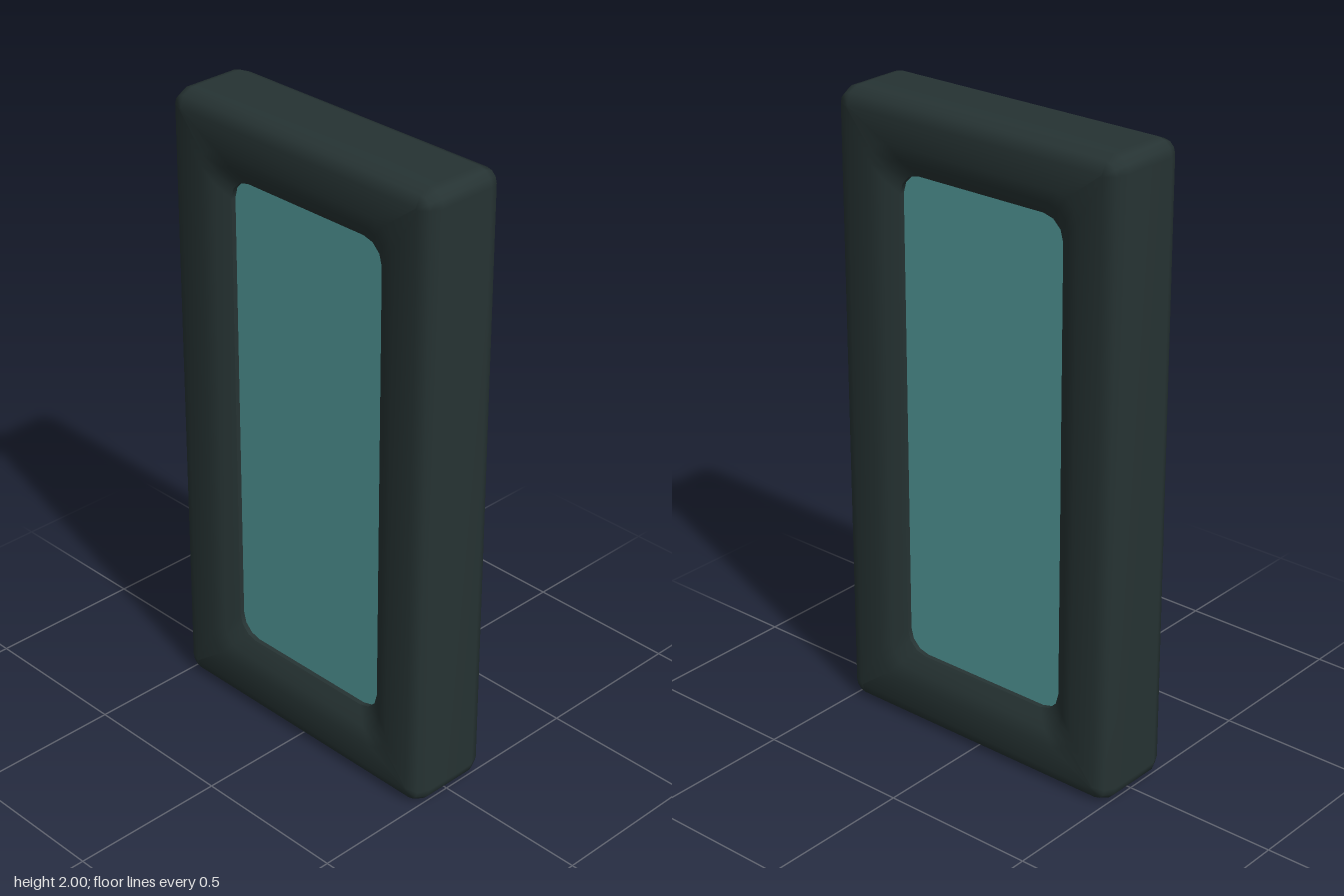
import * as THREE from 'three';

const CORNER_STEPS = 3;

// Rounded rectangle outline, counter-clockwise seen from the front
function roundedRect(hx, hy, r) {
  const points = [];
  const corners = [[1, 1], [-1, 1], [-1, -1], [1, -1]];
  corners.forEach(([sx, sy], c) => {
    for (let i = 0; i <= CORNER_STEPS; i++) {
      const a = (c + i / CORNER_STEPS) * Math.PI / 2;
      points.push(new THREE.Vector2(
        sx * (hx - r) + r * Math.cos(a),
        sy * (hy - r) + r * Math.sin(a)));
    }
  });
  return points;
}

// Skin a row of rings, each [halfWidth, halfHeight, cornerRadius, z]
function skinRings(rings) {
  const positions = [], indices = [];
  const n = 4 * (CORNER_STEPS + 1);
  for (const [hx, hy, r, z] of rings) {
    for (const p of roundedRect(hx, hy, r)) positions.push(p.x, p.y, z);
  }
  for (let j = 0; j < rings.length - 1; j++) {
    for (let i = 0; i < n; i++) {
      const k = (i + 1) % n;
      const a = j * n + i, b = (j + 1) * n + i;
      const c = (j + 1) * n + k, d = j * n + k;
      indices.push(a, b, c, a, c, d);
    }
  }
  const geometry = new THREE.BufferGeometry();
  geometry.setAttribute('position', new THREE.Float32BufferAttribute(positions, 3));
  geometry.setIndex(indices);
  geometry.computeVertexNormals();
  return geometry;
}

export function createModel() {
  const frameMaterial = new THREE.MeshStandardMaterial({ color: 0x263333 });
  frameMaterial.name = 'dark frame';
  const glassMaterial = new THREE.MeshStandardMaterial({ color: 0x529a9a });
  glassMaterial.name = 'teal glass';

  const group = new THREE.Group();
  group.name = 'window';
  const add = (name, geometry, material) => {
    const mesh = new THREE.Mesh(geometry, material);
    mesh.name = name;
    mesh.position.y = 1;
    group.add(mesh);
  };

  // Frame: sloped inner lip, flat face, rounded outer edge, mirrored to the back
  const front = [
    [0.30, 0.78, 0.07, 0.10],
    [0.34, 0.825, 0.07, 0.13],
    [0.38, 0.87, 0.07, 0.142],
    [0.465, 0.95, 0.005, 0.142],
    [0.50, 0.985, 0.036, 0.127],
    [0.515, 1.0, 0.05, 0.092],
  ];
  const back = front.map(([hx, hy, r, z]) => [hx, hy, r, -z]).reverse();
  add('frame', skinRings([...front, ...back]), frameMaterial);

  // Straight wall of the opening
  add('openingWall', skinRings([[0.30, 0.78, 0.07, -0.10], [0.30, 0.78, 0.07, 0.10]]), frameMaterial);

  // Glass pane, set just below the lip on both sides
  const pane = new THREE.ExtrudeGeometry(new THREE.Shape(roundedRect(0.303, 0.783, 0.07)),
    { depth: 0.17, bevelEnabled: false });
  pane.translate(0, 0, -0.085);
  add('glassPane', pane, glassMaterial);

  return group;
}
